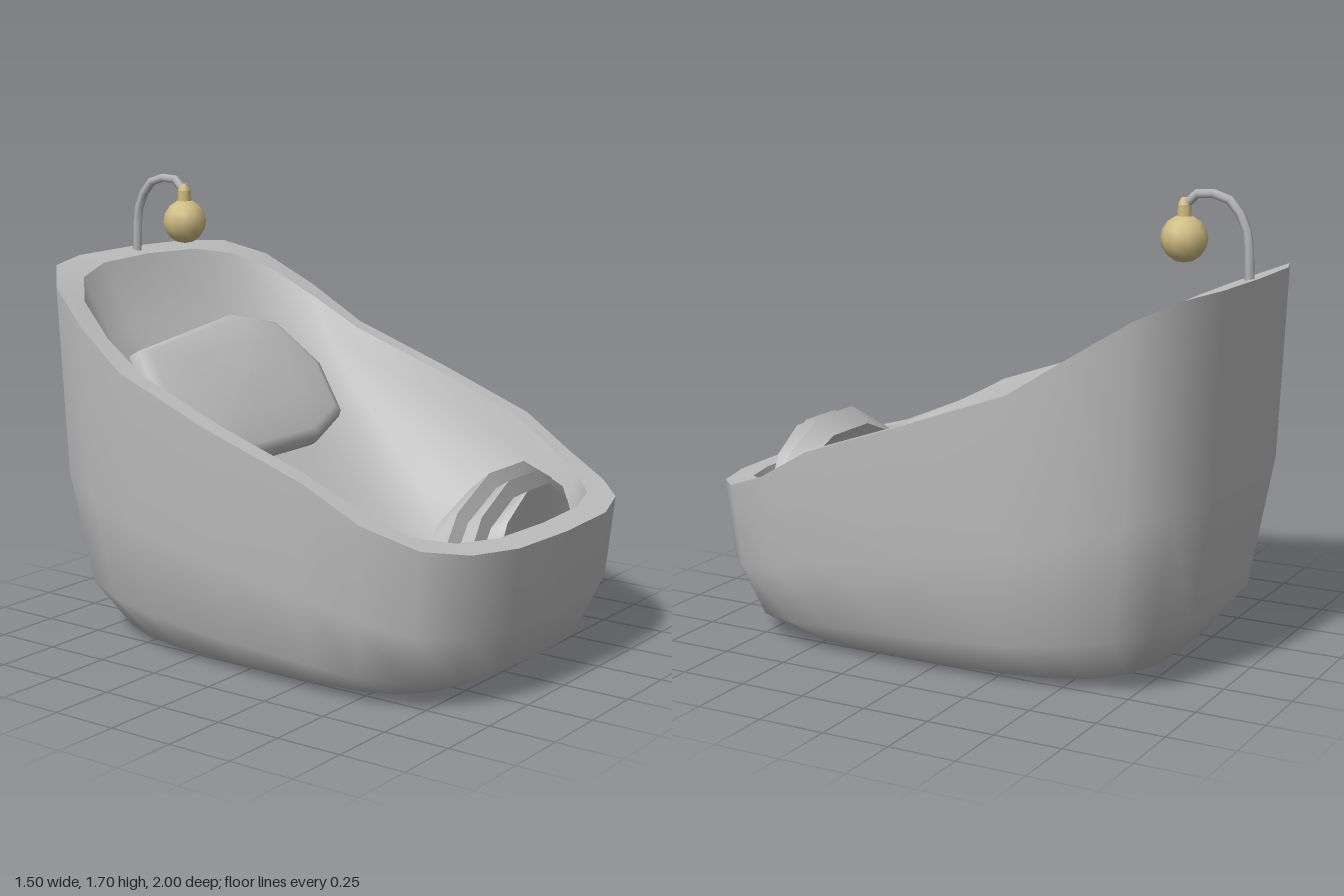
import * as THREE from 'three';
import { toCreasedNormals } from 'three/addons/utils/BufferGeometryUtils.js';

const material = (name, color) => Object.assign(new THREE.MeshStandardMaterial({ color }), { name });

// Skin a list of cross-sections, each a list of [x, y, z]
function loft(rings, closed = true) {
  const n = rings[0].length, index = [];
  for (let r = 0; r < rings.length - 1; r++) {
    for (let i = 0; i < (closed ? n : n - 1); i++) {
      const j = (i + 1) % n;
      const a = r * n + i, b = r * n + j, c = a + n, d = b + n;
      index.push(a, b, c, b, d, c);
    }
  }
  const geometry = new THREE.BufferGeometry();
  geometry.setAttribute('position', new THREE.Float32BufferAttribute(rings.flat(2), 3));
  geometry.setIndex(index);
  geometry.computeVertexNormals();
  return geometry;
}

// Mirror a quarter outline (front middle to left middle) into a full loop
function mirrorLoop(quarter) {
  const half = [...quarter, ...quarter.slice(0, -1).reverse().map(([x, z]) => [x, -z])];
  return [...half, ...half.slice(1, -1).reverse().map(([x, z]) => [-x, z])];
}

// Height of the sloping rim along z
const RIM = [[-1, 1.405], [-0.9, 1.385], [-0.8, 1.33], [-0.4, 1.07], [0, 0.925],
  [0.4, 0.785], [0.6, 0.67], [0.73, 0.61], [0.85, 0.58], [1, 0.56]];
function rimY(z) {
  const i = Math.max(1, RIM.findIndex((p) => p[0] >= z - 1e-6));
  const [z0, y0] = RIM[i - 1], [z1, y1] = RIM[i];
  return y0 + (y1 - y0) * (z - z0) / (z1 - z0);
}

const OUTLINE = mirrorLoop([[0, 1], [0.4, 0.985], [0.66, 0.92], [0.83, 0.8],
  [0.93, 0.61], [0.975, 0.4], [1, 0]]);

export function createModel() {
  const model = new THREE.Group();
  const grey = material('grey shell', 0xbdbdbd);
  const steel = material('steel', 0xb6b6ba);
  const brass = material('brass', 0xcfbc83);
  const add = (name, geometry, mat, parent = model) => {
    const mesh = new THREE.Mesh(geometry, mat);
    mesh.name = name;
    parent.add(mesh);
    return mesh;
  };

  // Outer shell: [height fraction, plan scale]
  const outer = [[0, 0], [0, 0.4], [0.028, 0.75], [0.16, 0.89], [0.48, 0.97], [1, 1]]
    .map(([t, s]) => OUTLINE.map(([u, v]) => [u * s * 0.75, t * rimY(v), v * s]));
  add('outerShell', loft(outer), grey);

  // Rim between the outer and inner edge
  const innerEdge = OUTLINE.map(([u, v]) => [u * 0.675, rimY(v * 0.9), v * 0.9]);
  add('rim', loft([outer.at(-1), innerEdge]), grey);

  // Reclined basin: [back z, back y, front z, front y, half width]
  const basin = [
    [-0.78, 1.15, 0.87, 0.48, 0.645],
    [-0.48, 0.83, 0.83, 0.40, 0.60],
    [-0.20, 0.55, 0.74, 0.32, 0.50],
    [0.12, 0.34, 0.60, 0.27, 0.33],
    [0.37, 0.28, 0.37, 0.28, 0],
  ].map(([zb, yb, zf, yf, w]) => OUTLINE.map(([u, v]) => {
    const k = (v + 1) / 2;
    return [u * w, yb + (yf - yb) * k, zb + (zf - zb) * k];
  }));
  add('basin', loft([innerEdge, ...basin]), grey);

  // Headrest cushion: [scale, height along its own normal]
  const cushionLoop = mirrorLoop([[0.2, 0.315], [0.43, 0.235], [0.51, 0]]);
  cushionLoop.push([-0.2, 0.315]);
  const cushion = [[0, -0.05], [0.9, -0.05], [0.98, -0.025], [1, 0], [0.97, 0.035], [0.88, 0.055], [0.5, 0.073], [0, 0.078]]
    .map(([s, h]) => cushionLoop.map(([x, z]) => [x * s, h, z * s]));
  const headrest = add('headrest', loft(cushion), grey);
  headrest.position.set(0, 0.9, -0.455);
  headrest.rotation.x = Math.PI / 4;

  // Ridged footrest: [half width, height, z]
  const angles = [0, 15, 45, 75, 105, 135, 165, 180].map(THREE.MathUtils.degToRad);
  const ridges = [[0, 0, 0.72], [0.33, 0.25, 0.72], [0.47, 0.32, 0.68], [0.45, 0.385, 0.75], [0.4, 0.33, 0.77],
    [0.39, 0.365, 0.82], [0.33, 0.30, 0.83], [0.29, 0.33, 0.88], [0.2, 0.23, 0.87], [0, 0, 0.83]]
    .map(([a, b, z]) => angles.map((t) => [a * Math.cos(t), 0.38 + b * Math.sin(t), z]));
  add('footrest', toCreasedNormals(loft(ridges, false), 0.8), grey).material.side = THREE.DoubleSide;

  // Hanging lamp on a bent arm
  const lamp = new THREE.Group();
  lamp.name = 'lamp';
  model.add(lamp);
  const arm = new THREE.CatmullRomCurve3([[1.38, -0.957], [1.57, -0.94], [1.67, -0.87],
    [1.68, -0.75], [1.64, -0.712]].map(([y, z]) => new THREE.Vector3(0, y, z)));
  add('lampArm', new THREE.TubeGeometry(arm, 8, 0.017, 6), steel, lamp);
  add('lampGlobe', new THREE.SphereGeometry(0.084, 10, 8), brass, lamp).position.set(0, 1.523, -0.71);
  add('lampNeck', new THREE.CylinderGeometry(0.025, 0.027, 0.06, 8), brass, lamp).position.set(0, 1.612, -0.71);
  add('lampCap', new THREE.CylinderGeometry(0.013, 0.025, 0.025, 8), brass, lamp).position.set(0, 1.654, -0.71);

  return model;
}
